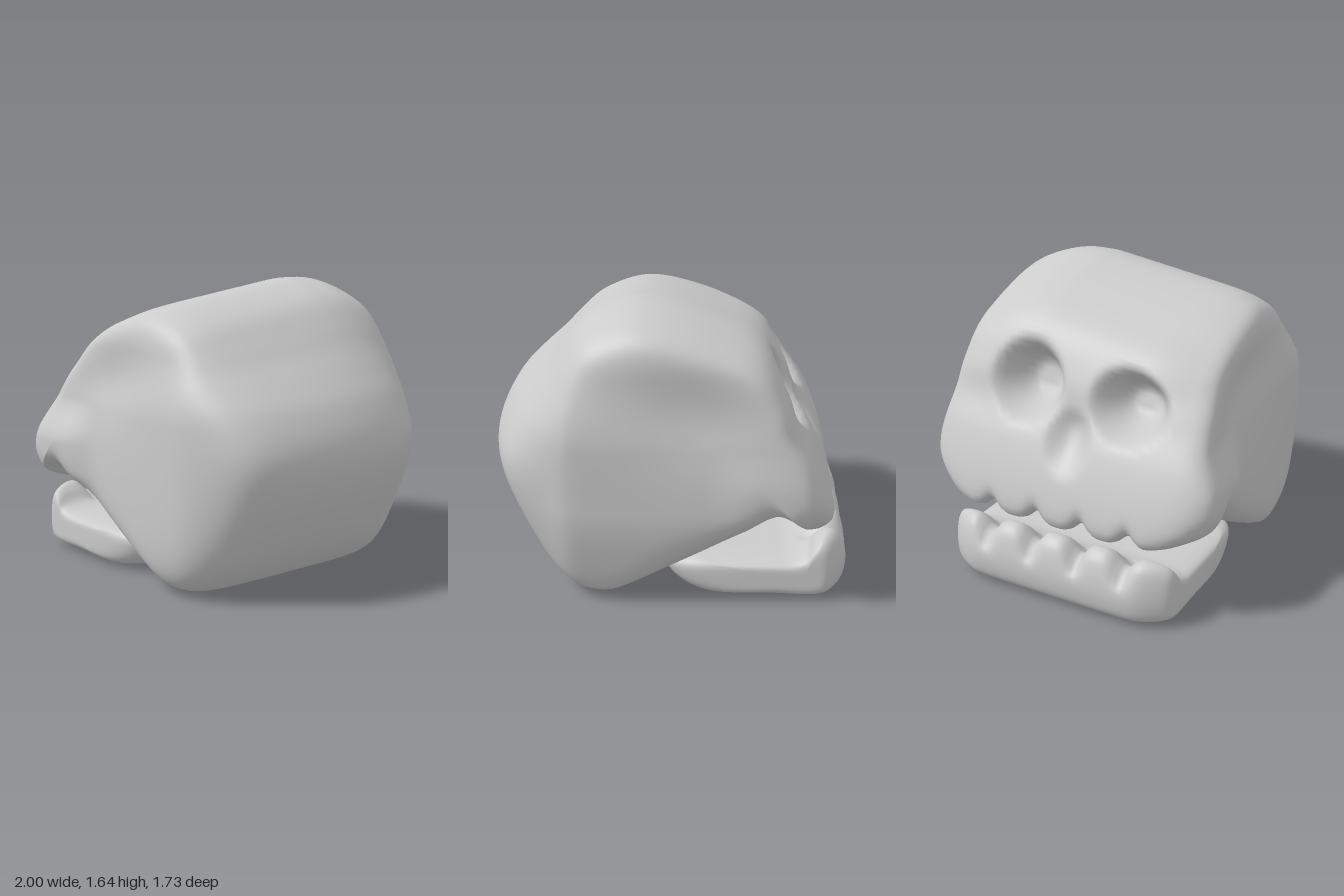
import * as THREE from 'three';

const { smoothstep: step, clamp } = THREE.MathUtils;
const bump = (d, r) => Math.exp(-(d * d) / (r * r));
// Gaps between the five teeth along the jaw
const gap = z => [-0.42, -0.14, 0.14, 0.42].reduce((s, g) => s + bump(z - g, 0.055), 0);

// Sweeps a closed clockwise xy profile along z, rounding both ends, then sculpts every point
function roundedLoft(points, cx, cy, power, around, along, sculpt) {
  const curve = new THREE.CatmullRomCurve3(
    points.map(([x, y]) => new THREE.Vector3(x, y, 0)), true, 'centripetal');
  const ring = curve.getSpacedPoints(around).slice(0, around);
  const pos = [], index = [];
  for (let i = 0; i <= along; i++) {
    const a = (i / along - 0.5) * Math.PI;
    const c = Math.max(Math.cos(a), 1e-4), s = Math.sin(a);
    const r = Math.pow(c ** power + Math.abs(s) ** power, -1 / power);
    for (const p of ring) {
      const v = new THREE.Vector3(cx + (p.x - cx) * c * r, cy + (p.y - cy) * c * r, s * r);
      sculpt(v);
      pos.push(v.x, v.y, v.z);
    }
  }
  for (let i = 0; i < along; i++) {
    for (let j = 0; j < around; j++) {
      const k = (j + 1) % around;
      const a = i * around + j, b = i * around + k;
      const d = a + around, e = b + around;
      index.push(a, d, b, b, d, e);
    }
  }
  const g = new THREE.BufferGeometry();
  g.setAttribute('position', new THREE.Float32BufferAttribute(pos, 3));
  g.setIndex(index);
  g.computeVertexNormals();
  return g;
}

// Cranium: uneven side widths, sloping top, eye sockets, nose, cheekbones and upper teeth
function sculptSkull(v) {
  const { x, y } = v;
  const t = v.z;
  const side = Math.abs(t);
  let width = t > 0 ? 0.78 : 0.85;
  width -= 0.05 * step(x, 0.5, 1);
  width -= 0.05 * step(y, 0.95, 1.4);
  if (t < 0) width -= 0.06 * (1 - step(y, 0.1, 0.6));
  // cheekbone, stronger on the +z side
  const cheek = step(-x, 0.2, 0.5) * step(y, 0.38, 0.56) * (1 - step(y, 0.72, 0.98));
  width += (t > 0 ? 0.08 : 0.02) * cheek;
  // hollow temple, stretched towards the face
  width -= 0.05 * bump(Math.hypot((x + 0.2) / 1.5, y - 1.1 - 0.15 * (x + 0.2)), 0.24);
  // muzzle narrows towards the teeth
  width -= 0.06 * step(-x, 0.74, 0.92);
  width -= 0.07 * step(-x, 0.62, 0.82) * (1 - step(y, 0.46, 0.68));
  v.z = t * width;

  // top slopes down towards +z and rounds off at -z
  const top = step(y, 0.9, 1.6);
  v.y -= 0.13 * top * clamp((v.z + 0.3) / 0.9, 0, 1);
  v.y -= 0.06 * top * step(-v.z, 0.4, 0.75);
  // back of the head bulges in the middle
  v.x -= 0.09 * step(x, 0.4, 0.95) * ((v.z - 0.08) / 0.6) ** 2;
  // forehead corner falls away at +z
  v.x += 0.06 * step(-x, 0.2, 0.5) * step(y, 0.95, 1.3) * step(v.z, 0.35, 0.7);

  if (x < -0.2 && side < 0.97) {
    const eye = Math.hypot((y - 1.14) * 1.1, Math.abs(v.z) - 0.31);
    const pit = 0.22 * (1 - step(eye, 0.07, 0.25));
    const nose = Math.hypot((y - 0.89) * 0.85, v.z);
    const hole = 0.08 * (1 - step(nose, 0.02, 0.16));
    v.x += pit + hole;
    v.y -= 0.25 * pit;
  }

  // scalloped upper teeth
  const tooth = step(-x, 0.68, 0.82) * (1 - step(y, 0.46, 0.64)) * gap(v.z);
  v.y += 0.06 * tooth;
  v.x += 0.025 * tooth;
}

// Lower jaw: rounded front corners and teeth cut into the raised front lip
function sculptJaw(v) {
  v.z *= 0.69;
  v.x += 0.05 * step(-v.x, 0.75, 1) * step(Math.abs(v.z), 0.48, 0.69);
  const tooth = step(-v.x, 0.7, 0.84) * step(v.y, 0.18, 0.38) * gap(v.z);
  v.y -= 0.09 * tooth;
  v.x += 0.02 * tooth;
}

export function createModel() {
  const model = new THREE.Group();
  const material = new THREE.MeshStandardMaterial({ color: 0xcccccc });
  const add = (name, geometry) => {
    const mesh = new THREE.Mesh(geometry, material);
    mesh.name = name;
    model.add(mesh);
  };

  const skullProfile = [
    [-0.92, 0.5], [-0.89, 0.63], [-0.8, 0.85], [-0.7, 1.02], [-0.64, 1.2], [-0.5, 1.42],
    [-0.25, 1.55], [0.06, 1.64], [0.22, 1.64], [0.44, 1.55], [0.57, 1.42], [0.67, 1.3],
    [0.79, 1.17], [0.91, 1.02], [1.0, 0.79], [0.94, 0.53], [0.73, 0.18], [0.5, 0.03],
    [0.35, 0.01], [0.24, 0.05], [-0.1, 0.24], [-0.4, 0.42], [-0.62, 0.55], [-0.74, 0.5],
    [-0.84, 0.42], [-0.91, 0.45],
  ];
  add('cranium', roundedLoft(skullProfile, -0.3, 1.0, 8, 150, 110, sculptSkull));

  const jawProfile = [
    [-1.0, 0.14], [-0.99, 0.28], [-0.95, 0.37], [-0.89, 0.395], [-0.83, 0.36], [-0.77, 0.29],
    [-0.68, 0.255], [-0.55, 0.25], [-0.2, 0.25], [-0.05, 0.245], [0.05, 0.2], [0.02, 0.12],
    [-0.06, 0.05], [-0.17, 0.015], [-0.5, 0.015], [-0.88, 0.015], [-0.97, 0.05],
  ];
  add('lowerJaw', roundedLoft(jawProfile, -0.76, 0.15, 6, 120, 90, sculptJaw));

  return model;
}
